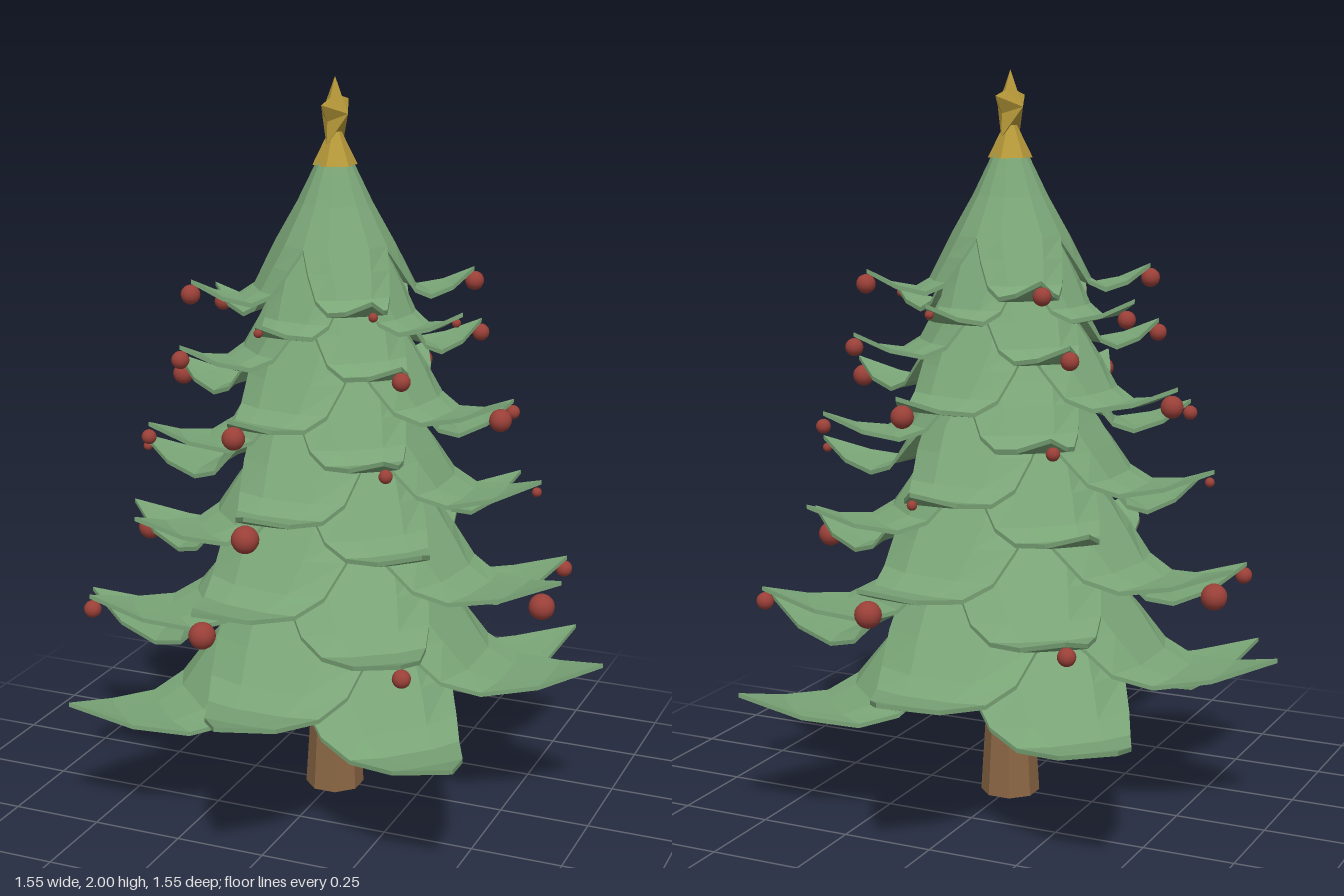
import * as THREE from 'three';

const DEG = Math.PI / 180;
const mat = (color, flat = true) => new THREE.MeshStandardMaterial({ color, flatShading: flat });
const GREEN = mat(0x7aa577), BROWN = mat(0x8a6644), RED = mat(0x9a4038, false), GOLD = mat(0xb89a3a);

// Branch profile from trunk to tip: radius factor, height offset from the tip, half angle of the lobe
const PROFILE = [
  [0.10, 0.40, 45], [0.26, 0.24, 45], [0.41, 0.11, 45], [0.48, 0.04, 36], [0.56, -0.04, 27],
  [0.66, -0.07, 18], [0.82, -0.05, 9], [1, 0, 0],
];
const COLUMNS = [-1, -0.45, 0.45, 1];

// Builds a flat-shaded geometry from a list of quads, each with four corners
function fromQuads(quads) {
  const pos = [];
  for (const [a, b, c, d] of quads) for (const p of [a, b, c, a, c, d]) pos.push(...p);
  const g = new THREE.BufferGeometry();
  g.setAttribute('position', new THREE.Float32BufferAttribute(pos, 3));
  g.computeVertexNormals();
  return g;
}

// A thin conical skirt with four pointed, upcurled lobes
function skirt(radius, tipY, turn) {
  const k = 0.6 + 0.5 * radius, thick = 0.012, quads = [];
  for (let lobe = 0; lobe < 4; lobe++) {
    const point = (i, j, drop) => {
      const [r, y, half] = PROFILE[i];
      const a = (turn + lobe * 90 + half * COLUMNS[j]) * DEG;
      return [r * radius * Math.cos(a), tipY + y * k - drop, r * radius * Math.sin(a)];
    };
    const top = (i, j) => point(i, j, 0), low = (i, j) => point(i, j, thick);
    for (let i = 0; i < PROFILE.length - 1; i++) {
      for (let j = 0; j < 3; j++) {
        quads.push([top(i, j), top(i, j + 1), top(i + 1, j + 1), top(i + 1, j)]);
        quads.push([low(i, j), low(i + 1, j), low(i + 1, j + 1), low(i, j + 1)]);
      }
      // Rims of the free edges below the notch
      if (PROFILE[i + 1][2] < 45) {
        quads.push([top(i, 0), top(i + 1, 0), low(i + 1, 0), low(i, 0)]);
        quads.push([top(i, 3), low(i, 3), low(i + 1, 3), top(i + 1, 3)]);
      }
    }
  }
  return fromQuads(quads);
}

// Five-pointed star standing in the yz plane, ridged to a peak on both faces
function starGeometry(outer, inner, depth) {
  const rim = [], quads = [];
  for (let i = 0; i < 10; i++) {
    const r = i % 2 ? inner : outer, a = i * 36 * DEG;
    rim.push([0, r * Math.cos(a), r * Math.sin(a)]);
  }
  for (let i = 0; i < 10; i++) {
    const p = rim[i], q = rim[(i + 1) % 10];
    quads.push([p, q, [depth, 0, 0], [depth, 0, 0]], [q, p, [-depth, 0, 0], [-depth, 0, 0]]);
  }
  return fromQuads(quads);
}

export function createModel() {
  const tree = new THREE.Group();
  tree.name = 'decoratedTree';
  const add = (name, geometry, material, parent = tree) => {
    const m = new THREE.Mesh(geometry, material);
    m.name = name;
    parent.add(m);
    return m;
  };

  // Tapered octagonal trunk
  const trunkPts = [[0, 0], [0.082, 0], [0.057, 0.41], [0.03, 1.2], [0, 1.4]].map(p => new THREE.Vector2(...p));
  add('trunk', new THREE.LatheGeometry(trunkPts, 8, 22.5 * DEG), BROWN);

  // Skirts of branches: tip radius, tip height, turn in degrees
  const skirts = [
    [0.772, 0.365, 45], [0.775, 0.48, 0], [0.685, 0.625, 53.6], [0.69, 0.735, 8.6],
    [0.575, 0.865, 45], [0.59, 0.97, 0], [0.512, 1.1, 53.6], [0.52, 1.195, 8.6],
    [0.44, 1.32, 45], [0.388, 1.415, 8.6], [0.39, 1.48, 53.6],
  ];
  skirts.forEach(([r, y, turn], i) => add(`branchSkirt${i + 1}`, skirt(r, y, turn), GREEN));

  // Baubles under the tips: ring radius, height, turn, sizes of the four
  const baubles = new THREE.Group();
  baubles.name = 'baubles';
  tree.add(baubles);
  const rings = [
    [0.678, 0.585, 53.2, [0.024, 0.024, 0.024, 0.024]],
    [0.638, 0.655, 9, [0.035, 0.035, 0.035, 0.035]],
    [0.578, 0.935, 0, [0.013, 0, 0.013, 0.013]],
    [0.56, 0.9, 1, [0, 0.036, 0, 0]],
    [0.512, 1.06, 53, [0.018, 0.02, 0.018, 0.02]],
    [0.5, 1.14, 8, [0.03, 0.03, 0.03, 0.03]],
    [0.438, 1.28, 45, [0.024, 0.024, 0.024, 0.024]],
    [0.37, 1.385, 9, [0.012, 0.012, 0, 0.012]],
    [0.37, 1.36, 10, [0, 0, 0.024, 0]],
    [0.392, 1.44, 53.2, [0.012, 0.026, 0.024, 0.026]],
  ];
  for (const [r, y, turn, sizes] of rings) {
    sizes.forEach((size, i) => {
      if (!size) return;
      const a = (turn + i * 90) * DEG;
      add('bauble', new THREE.SphereGeometry(size, 14, 10), RED, baubles)
        .position.set(r * Math.cos(a), y, r * Math.sin(a));
    });
  }

  // Star on a small flared collar
  add('starCollar', new THREE.CylinderGeometry(0.018, 0.06, 0.085, 6), GOLD).position.y = 1.812;
  add('star', starGeometry(0.097, 0.054, 0.037), GOLD).position.y = 1.903;
  return tree;
}
